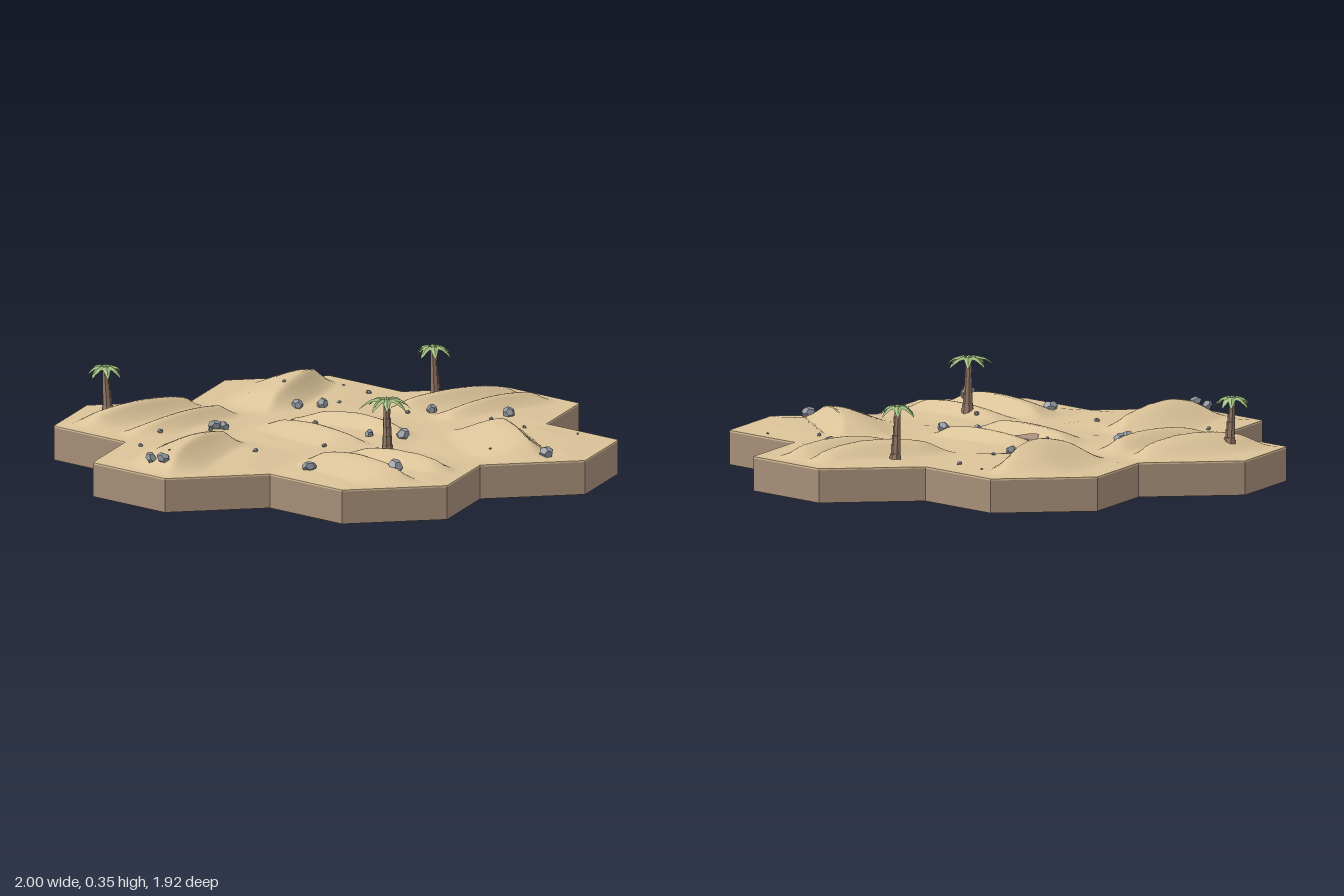
import * as THREE from 'three';
import { mergeVertices } from 'three/addons/utils/BufferGeometryUtils.js';

const mat = (name, color, extra = {}) => Object.assign(new THREE.MeshStandardMaterial({ color, ...extra }), { name });
const R = 2 / 3 / Math.sqrt(3); // hexagon radius
const GROUND = 0.125;
const CENTRES = [[0, 0], ...[0, 1, 2, 3, 4, 5].map(k => [Math.cos(k * Math.PI / 3) * 2 / 3, Math.sin(k * Math.PI / 3) * 2 / 3])];
const corner = k => [R * Math.cos((k + 0.5) * Math.PI / 3), R * Math.sin((k + 0.5) * Math.PI / 3)];

// Dune crests: start x,z, end x,z, bend, height, windward width, lee width.
// The steep lee side lies to the right of the direction of travel.
const DUNES = [
  [-0.64, -0.66, -0.02, -0.68, 0.02, 0.066, 0.2, 0.08],
  [-0.62, -0.42, 0.0, -0.52, 0.03, 0.058, 0.13, 0.09],
  [0.02, -0.42, 0.6, -0.76, 0.04, 0.085, 0.28, 0.1],
  [-0.98, 0.18, -0.32, -0.14, -0.03, 0.075, 0.25, 0.12],
  [0.36, -0.14, 0.96, -0.06, 0.03, 0.062, 0.14, 0.09],
  [0.42, 0.1, 0.98, 0.07, 0.01, 0.055, 0.13, 0.09],
  [-0.1, 0.32, -0.08, -0.3, 0.0, 0.045, 0.16, 0.08],
  [0.13, 0.28, 0.08, -0.3, 0.03, 0.05, 0.1, 0.1],
  [-0.42, 0.9, -0.38, 0.27, 0.01, 0.06, 0.2, 0.08],
  [-0.17, 0.86, -0.22, 0.3, 0.0, 0.05, 0.13, 0.1],
  [0.2, 0.88, 0.52, 0.28, -0.02, 0.072, 0.26, 0.1],
];

function height(x, z) {
  // fade to flat at the nearest tile's border
  let edge = 9;
  for (const [cx, cz] of CENTRES) {
    let d = 0;
    for (let k = 0; k < 3; k++) {
      const a = k * Math.PI / 3;
      d = Math.max(d, Math.abs((x - cx) * Math.cos(a) + (z - cz) * Math.sin(a)) * 3);
    }
    edge = Math.min(edge, d);
  }
  const fade = THREE.MathUtils.smoothstep(1 - edge, 0, 0.4);
  let h = 0.006 + 0.004 * Math.sin(x * 11 + z * 5);
  for (const [ax, az, bx, bz, bend, top, wind, lee] of DUNES) {
    const len = Math.hypot(bx - ax, bz - az), dx = (bx - ax) / len, dz = (bz - az) / len;
    const px = x - (ax + bx) / 2, pz = z - (az + bz) / 2;
    const u = (px * dx + pz * dz) / (len / 2);
    if (Math.abs(u) >= 1) continue;
    const v = -px * dz + pz * dx - bend * (1 - u * u);
    const s = Math.min(1, v < 0 ? -v / wind : v / lee);
    const profile = v < 0 ? 0.5 + 0.5 * Math.cos(Math.PI * s) : (1 - s) ** 1.6;
    h = Math.max(h, top * (1 - u * u) ** 0.7 * profile);
  }
  return GROUND + h * fade;
}

// Sand surface of one hexagonal tile, as six subdivided triangles
function tileSurface([cx, cz], n = 30) {
  const pos = [];
  for (let k = 0; k < 6; k++) {
    const a = corner(k), b = corner(k + 1);
    const put = (i, j) => {
      const x = cx + (a[0] * i + b[0] * j) / n, z = cz + (a[1] * i + b[1] * j) / n;
      pos.push(x, height(x, z), z);
    };
    for (let i = 0; i < n; i++) for (let j = 0; i + j < n; j++) {
      put(i, j); put(i, j + 1); put(i + 1, j);
      if (i + j < n - 1) { put(i + 1, j); put(i, j + 1); put(i + 1, j + 1); }
    }
  }
  const g = new THREE.BufferGeometry();
  g.setAttribute('position', new THREE.Float32BufferAttribute(pos, 3));
  const merged = mergeVertices(g, 1e-5);
  merged.computeVertexNormals();
  return merged;
}

// Slab following the outer outline of the seven tiles
function slab(bottom, top) {
  const pts = new Map();
  for (const [cx, cz] of CENTRES) for (let k = 0; k < 6; k++) {
    const [x, z] = corner(k), p = new THREE.Vector2(cx + x, cz + z);
    if (p.length() > R + 0.01) pts.set(`${Math.round(p.x * 100)},${Math.round(p.y * 100)}`, p);
  }
  const outline = [...pts.values()].sort((a, b) => Math.atan2(a.y, a.x) - Math.atan2(b.y, b.x));
  return new THREE.ExtrudeGeometry(new THREE.Shape(outline), { depth: top - bottom, bevelEnabled: false })
    .rotateX(Math.PI / 2).translate(0, top, 0);
}

// Drooping frond pointing along +x with a raised midrib
function frond(len) {
  const rows = [[0, 0, 0.004], [0.3, 0.008, 0.017], [0.6, 0.001, 0.013], [0.85, -0.016, 0.007], [1, -0.032, 0.0005]];
  const pos = [], index = [];
  rows.forEach(([t, y, w], i) => {
    pos.push(t * len, y - w * 0.45, -w, t * len, y, 0, t * len, y - w * 0.45, w);
    if (i) for (let c = 0; c < 2; c++) {
      const a = (i - 1) * 3 + c, b = a + 3;
      index.push(a, a + 1, b, a + 1, b + 1, b);
    }
  });
  const g = new THREE.BufferGeometry();
  g.setAttribute('position', new THREE.Float32BufferAttribute(pos, 3));
  g.setIndex(index);
  g.computeVertexNormals();
  return g;
}

export function createModel() {
  const model = new THREE.Group();
  const sand = mat('sand', 0xdac298);
  const earth = mat('earth', 0xa68d78);
  const bark = mat('bark', 0x957a69, { flatShading: true });
  const leaf = mat('leaf', 0x9dbb7c, { side: THREE.DoubleSide, flatShading: true });
  const stone = mat('stone', 0x8e959d, { flatShading: true });
  const add = (parent, name, geometry, material) => {
    const m = new THREE.Mesh(geometry, material);
    m.name = name;
    parent.add(m);
    return m;
  };
  let seed = 7;
  const rand = () => (seed = (seed * 16807) % 2147483647) / 2147483647;

  // ground
  add(model, 'earthBase', slab(0, 0.118), earth);
  add(model, 'sandRim', slab(0.118, 0.124), sand);
  CENTRES.forEach(c => add(model, 'sandTile', tileSurface(c), sand));

  // bare earth patch draped over the middle tile
  const patch = new THREE.RingGeometry(0.0001, 1, 14, 5).rotateX(-Math.PI / 2);
  const pp = patch.attributes.position;
  for (let i = 0; i < pp.count; i++) {
    const z = pp.getZ(i), x = -0.02 + pp.getX(i) * 0.03 * (1 - 0.35 * z) + z * 0.012;
    const wz = -0.06 + z * 0.07;
    pp.setXYZ(i, x, height(x, wz) + 0.004, wz);
  }
  patch.computeVertexNormals();
  add(model, 'earthPatch', patch, earth);

  // palms: x, z, crown height, frond length, lean
  for (const [x, z, top, len, lean] of [[-0.45, -0.735, 0.312, 0.08, 0.012], [0.65, -0.2, 0.315, 0.075, 0.01], [-0.19, 0.48, 0.342, 0.098, 0.004]]) {
    const palm = new THREE.Group();
    palm.name = 'palm';
    palm.position.set(x, 0, z);
    model.add(palm);
    const foot = height(x, z) - 0.015, step = (top - foot) / 6;
    for (let i = 0; i < 6; i++) {
      const r = 0.021 - i * 0.0017;
      add(palm, 'trunkRing', new THREE.CylinderGeometry(r * 0.93, r * (i ? 0.88 : 1.15), step * 1.05, 7), bark)
        .position.set(lean * (1 - i / 5), foot + step * (i + 0.5), 0);
    }
    for (let i = 0; i < 8; i++) {
      const f = add(palm, 'frond', frond(len * (0.78 + 0.24 * rand())), leaf);
      f.position.y = top + 0.002;
      f.rotation.y = i * Math.PI / 4 + 0.3 * rand();
    }
  }

  // rocks: x, z, radius
  const rocks = [
    [-0.91, 0.02, 0.024], [-0.905, 0.08, 0.025], [-0.69, -0.28, 0.01], [-0.5, -0.385, 0.011], [-0.29, -0.325, 0.026], [-0.265, -0.31, 0.024],
    [-0.33, -0.305, 0.009], [0.18, -0.405, 0.024], [0.255, -0.355, 0.023], [0.335, -0.353, 0.008], [0.55, -0.433, 0.01], [0.41, -0.07, 0.01],
    [0.49, -0.03, 0.021], [0.55, 0.22, 0.008], [0.635, 0.22, 0.026], [0.53, 0.42, 0.009], [0.26, 0.835, 0.03], [-0.39, 0.75, 0.029],
    [-0.535, 0.45, 0.026], [-0.18, 0.42, 0.011], [-0.21, 0.17, 0.01], [-0.47, 0.09, 0.011], [0.02, 0.155, 0.019], [0.1, 0.247, 0.028],
    [0.03, -0.145, 0.011], [0.02, -0.255, 0.005], [0.22, -0.52, 0.007], [0.57, -0.59, 0.005], [-0.84, 0.04, 0.005], [-0.42, -0.49, 0.005],
    [0.62, 0.605, 0.005], [0.135, 0.675, 0.005],
  ];
  for (const [x, z, r] of rocks) {
    const rock = add(model, 'rock', new THREE.DodecahedronGeometry(r, 0), stone);
    rock.position.set(x, height(x, z) + r * 0.35, z);
    rock.scale.set(0.9 + 0.2 * rand(), 0.75, 0.9 + 0.2 * rand());
    rock.rotation.set(rand(), rand() * 6, rand());
  }
  return model;
}
